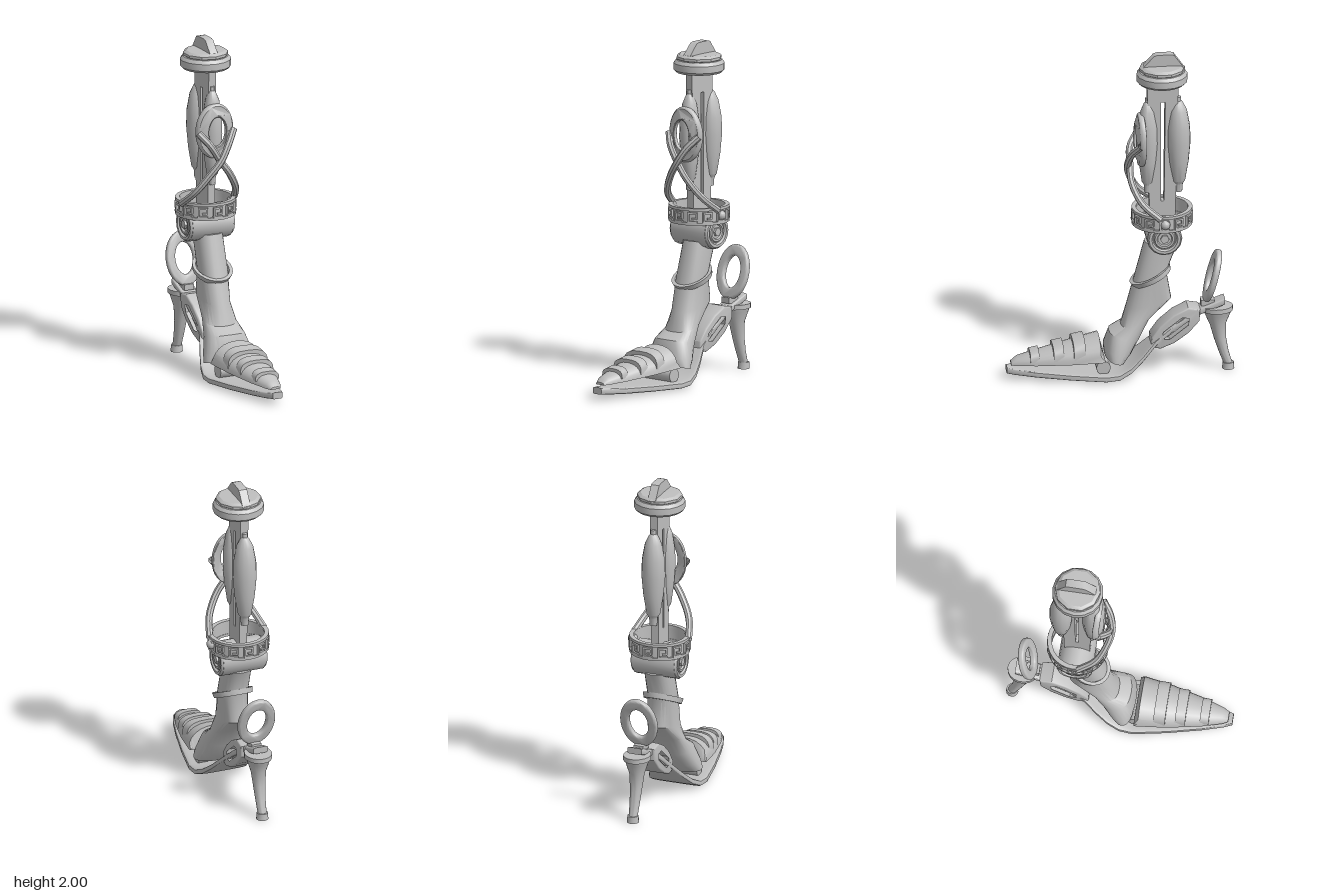
import * as THREE from 'three';
import { toCreasedNormals } from 'three/addons/utils/BufferGeometryUtils.js';

const V2 = (x, y) => new THREE.Vector2(x, y);
const V3 = (x, y, z) => new THREE.Vector3(x, y, z);

// Cross-section through two [z, y] points with half-width w; half = flat-bottomed arch
function section(front, back, w, power = 2, half = false, n = 24) {
  const cz = half ? back[0] : (front[0] + back[0]) / 2;
  const cy = half ? back[1] : (front[1] + back[1]) / 2;
  const ring = [];
  for (let i = 0; i < n; i++) {
    const a = (i / n) * Math.PI * 2;
    const bend = (t) => Math.sign(t) * Math.pow(Math.abs(t), 2 / power);
    let s = bend(Math.sin(a));
    if (half) s = Math.max(s, 0);
    ring.push(V3(w * bend(Math.cos(a)), cy + s * (front[1] - cy), cz + s * (front[0] - cz)));
  }
  return ring;
}

// Skin over a list of rings, closed at both ends
function loft(rings) {
  const n = rings[0].length;
  const pts = rings.flat();
  const idx = [];
  for (let r = 0; r < rings.length - 1; r++) {
    for (let j = 0; j < n; j++) {
      const a = r * n + j, b = r * n + (j + 1) % n;
      idx.push(a, b, a + n, b, b + n, a + n);
    }
  }
  const last = (rings.length - 1) * n;
  for (let j = 1; j < n - 1; j++) {
    idx.push(0, j + 1, j, last, last + j, last + j + 1);
  }
  const g = new THREE.BufferGeometry().setFromPoints(pts);
  g.setIndex(idx);
  return g;
}

// Plate drawn in [z, y] and extruded across x
function sidePlate(shape, thick, bevel = 0) {
  const g = new THREE.ExtrudeGeometry(shape, {
    depth: thick - 2 * bevel, bevelEnabled: bevel > 0, bevelSize: bevel, bevelThickness: bevel, bevelSegments: 3, curveSegments: 12,
  });
  return g.translate(0, 0, -thick / 2 + bevel).rotateY(-Math.PI / 2);
}

function polygon(points) {
  return new THREE.Shape(points.map(([x, y]) => V2(x, y)));
}

function ovalRing(rx, ry, hx, hy, depth) {
  const s = new THREE.Shape().absellipse(0, 0, rx - 0.012, ry - 0.012, 0, Math.PI * 2);
  s.holes.push(new THREE.Path().absellipse(0, 0, hx + 0.012, hy + 0.012, 0, Math.PI * 2));
  return new THREE.ExtrudeGeometry(s, {
    depth: depth - 0.024, bevelSize: 0.012, bevelThickness: 0.012, bevelSegments: 3, curveSegments: 20,
  }).translate(0, 0, 0.012 - depth / 2);
}

export function createModel() {
  const grey = new THREE.MeshStandardMaterial({ color: 0xbfbfbf });
  grey.name = 'plain grey';
  grey.side = THREE.DoubleSide;
  const model = new THREE.Group();
  model.name = 'prostheticLeg';

  const add = (name, geo, x = 0, y = 0, z = 0, parent = model) => {
    const m = new THREE.Mesh(toCreasedNormals(geo, 0.6), grey);
    m.name = name;
    m.position.set(x, y, z);
    parent.add(m);
    return m;
  };
  const lathe = (pts, n) => new THREE.LatheGeometry(pts.map(([r, y]) => V2(r, y)), n);
  const AX = -0.008, AZ = -0.245;

  // Top cap and its upright fin
  add('capRing', lathe([[0, 1.82], [0.135, 1.82], [0.15, 1.835], [0.15, 1.875], [0.135, 1.895], [0, 1.895]], 16), AX, 0, AZ);
  add('capUpperRing', lathe([[0, 1.89], [0.12, 1.89], [0.134, 1.9], [0.134, 1.915], [0.115, 1.928], [0, 1.93]], 10), AX, 0, AZ);
  add('capFin', sidePlate(polygon([[-0.375, 1.91], [-0.315, 1.995], [-0.295, 2], [-0.215, 2], [-0.195, 1.993], [-0.12, 1.91]]), 0.05), AX);

  // Slotted flat shaft
  const shaft = polygon([[-0.32, 0.95], [-0.34, 1.83], [-0.155, 1.83], [-0.17, 0.95]]);
  shaft.holes.push(new THREE.Path([V2(-0.237, 1.08), V2(-0.236, 1.7), V2(-0.262, 1.7), V2(-0.255, 1.08)]));
  add('shaft', sidePlate(shaft, 0.048), AX);

  // Spindle-shaped calf pods
  const pod = [[0, 1.13], [0.022, 1.13], [0.026, 1.18], [0.04, 1.2], [0.06, 1.32], [0.071, 1.44], [0.068, 1.54], [0.05, 1.64], [0.026, 1.69], [0.016, 1.7], [0.016, 1.725], [0, 1.725]];
  add('frontCalfPod', lathe(pod.map(([r, y]) => [r * 0.85, y]), 14), AX, 0, -0.16);
  add('rearCalfPod', lathe(pod, 14), AX, 0, -0.342);

  // Curved oval guard in front of the calf
  const guard = ovalRing(0.12, 0.165, 0.055, 0.088, 0.035);
  const gp = guard.attributes.position;
  for (let i = 0; i < gp.count; i++) {
    gp.setZ(i, gp.getZ(i) - 3 * gp.getX(i) ** 2 - 1.2 * gp.getY(i) ** 2);
  }
  guard.computeVertexNormals();
  add('calfGuard', guard, AX, 1.465, -0.09);

  // Crossed straps
  for (const s of [-1, 1]) {
    const path = new THREE.CatmullRomCurve3([
      V3(-0.172 * s, 1.02, -0.22), V3(-0.13 * s, 1.11, -0.115), V3(-0.06 * s, 1.22, -0.06),
      V3(0, 1.3, -0.05 + 0.008 * s), V3(0.06 * s, 1.395, -0.062), V3(0.115 * s, 1.465, -0.11)]);
    add('crossStrap', new THREE.TubeGeometry(path, 24, 0.021, 8), AX);
  }

  // Key-patterned band
  add('bandWall', lathe([[0.155, 0.945], [0.168, 0.945], [0.168, 1.03], [0.155, 1.03], [0.155, 0.945]], 32), AX, 0, AZ);
  for (const y of [0.937, 1.022]) {
    add('bandRim', lathe([[0.152, y], [0.178, y], [0.178, y + 0.016], [0.152, y + 0.016], [0.152, y]], 32), AX, 0, AZ);
  }
  const keyParts = [[-0.03, 0.985, 0.01, 0.06], [-0.004, 1.009, 0.052, 0.011], [0.018, 0.992, 0.01, 0.034], [0.005, 0.976, 0.03, 0.01], [-0.006, 0.957, 0.06, 0.01]];
  for (let i = 0; i < 12; i++) {
    const key = new THREE.Group();
    key.name = 'bandKey';
    key.position.set(AX, 0, AZ);
    key.rotation.y = (i / 12) * Math.PI * 2;
    for (const [x, y, w, h] of keyParts) add('keyBar', new THREE.BoxGeometry(w, h, 0.02), x, y, 0.169, key);
    model.add(key);
  }
  add('bandStud', new THREE.SphereGeometry(0.029, 12, 8), 0.163, 0.988, AZ);

  // Ankle hinge with stepped end caps
  const across = (r, len, n) => new THREE.CylinderGeometry(r, r, len, n).rotateZ(Math.PI / 2);
  add('hingeBarrel', across(0.104, 0.265, 14), AX, 0.885, AZ);
  for (const s of [-1, 1]) {
    add('hingeRing', new THREE.TorusGeometry(0.085, 0.016, 6, 16).rotateY(Math.PI / 2), AX + s * 0.132, 0.885, AZ);
    add('hingeInnerRing', new THREE.TorusGeometry(0.052, 0.012, 6, 16).rotateY(Math.PI / 2), AX + s * 0.132, 0.885, AZ);
    add('hingeBolt', across(0.026, 0.03, 6), AX + s * 0.132, 0.885, AZ);
  }

  // Shin flowing down into the instep
  add('shin', loft([
    [[-0.14, 0.83], [-0.335, 0.81], 0.08], [[-0.08, 0.6], [-0.268, 0.64], 0.085],
    [[-0.03, 0.42], [-0.297, 0.47], 0.083], [[0, 0.31], [-0.17, 0.355], 0.1],
    [[0.07, 0.275], [-0.11, 0.235], 0.122], [[0.1, 0.18], [-0.06, 0.15], 0.15],
    [[0.095, 0.13], [-0.02, 0.1], 0.158],
  ].map(([f, b, w]) => section(f, b, w, 2.4))));

  // Tilted ankle cuff
  const cuff = add('ankleCuff', lathe([[0.1, -0.016], [0.122, -0.016], [0.13, 0.016], [0.108, 0.016], [0.1, -0.016]], 24), 0, 0.612, -0.178);
  cuff.scale.x = 0.92;
  cuff.rotation.x = 0.45;

  // Toe upper with three raised straps
  add('toeUpper', loft([
    [0.105, 0.13, 0.15, 0.155], [0.13, 0.128, 0.255, 0.153], [0.3, 0.115, 0.212, 0.13],
    [0.5, 0.1, 0.163, 0.085], [0.61, 0.092, 0.135, 0.05], [0.645, 0.09, 0.105, 0.032],
  ].map(([z, b, t, w]) => section([z, t], [z, b], w, 2.2, true))));
  for (const [z, half, b, t, w] of [[0.252, 0.034, 0.14, 0.243, 0.13], [0.372, 0.03, 0.13, 0.212, 0.108], [0.51, 0.026, 0.118, 0.176, 0.078]]) {
    add('toeStrap', loft([-half, half].map((d) => section([z + d, t - d * 0.2], [z + d, b], w, 3, true))));
  }

  // Sole sweeping up through the arch to the heel
  add('sole', loft([
    [-0.61, 0.435, 0.045], [-0.45, 0.375, 0.05], [-0.3, 0.28, 0.055], [-0.2, 0.2, 0.07], [-0.12, 0.12, 0.11],
    [-0.05, 0.062, 0.14], [0.02, 0.029, 0.16], [0.1, 0.024, 0.165], [0.3, 0.032, 0.13],
    [0.5, 0.043, 0.085], [0.62, 0.053, 0.052], [0.67, 0.058, 0.032],
  ].map(([z, y, w]) => section([z, y + 0.02], [z, y - 0.02], w, 6))));
  add('ballPivot', across(0.042, 0.22, 14), 0, 0.08, 0.112);

  // Arch pod with a recessed slot and insert
  const archPod = polygon([[-0.17, 0.0], [-0.13, 0.045], [-0.04, 0.062], [0.06, 0.058], [0.14, 0.035], [0.17, 0], [0.14, -0.035], [0.06, -0.058], [-0.04, -0.062], [-0.13, -0.045]]);
  archPod.holes.push(polygon([[-0.1, 0], [-0.07, 0.03], [0.07, 0.03], [0.1, 0], [0.07, -0.03], [-0.07, -0.03]]));
  const arch = new THREE.Group();
  arch.name = 'archPod';
  arch.position.set(0, 0.288, -0.318);
  arch.rotation.x = 0.66;
  add('archPodBody', sidePlate(archPod, 0.13, 0.01), 0, 0, 0, arch);
  add('archPodInsert', new THREE.BoxGeometry(0.1, 0.032, 0.15), 0, 0, 0, arch);
  model.add(arch);

  // Curved heel with top plate and foot tip
  add('heel', loft([
    [[-0.48, 0.385], [-0.658, 0.385], 0.075], [[-0.495, 0.35], [-0.645, 0.35], 0.065],
    [[-0.525, 0.28], [-0.62, 0.29], 0.045], [[-0.55, 0.19], [-0.62, 0.2], 0.036],
    [[-0.58, 0.1], [-0.635, 0.11], 0.03], [[-0.607, 0.03], [-0.658, 0.03], 0.026],
  ].map(([f, b, w]) => section(f, b, w))));
  add('heelPlate', new THREE.CylinderGeometry(0.092, 0.092, 0.028, 18).scale(0.87, 1, 1), 0, 0.385, -0.568);
  add('heelTip', new THREE.CylinderGeometry(0.033, 0.036, 0.04, 12), 0, 0.02, -0.633);

  // Upright oval heel loop
  const loop = add('heelLoop', ovalRing(0.115, 0.162, 0.06, 0.095, 0.035), 0, 0.588, -0.54);
  loop.rotation.x = -0.26;
  add('loopMount', new THREE.BoxGeometry(0.06, 0.035, 0.08), 0, 0.428, -0.51);

  return model;
}
